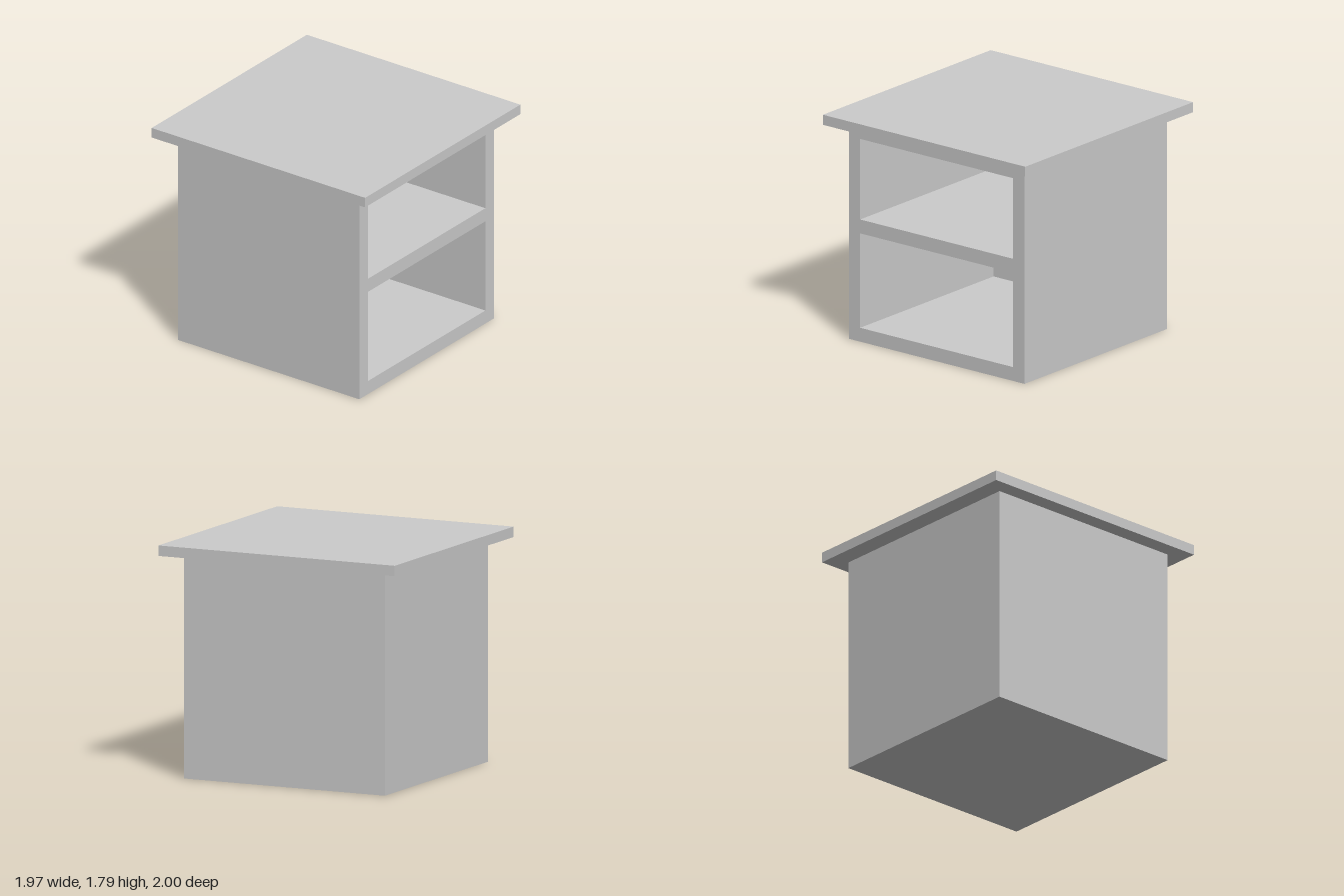
import * as THREE from 'three';

const WIDTH = 1.71, DEPTH = 1.7, HEIGHT = 1.71; // cabinet body
const BOARD = 0.11;                             // wall thickness
const TOP = 0.08;                               // top slab thickness

// Rectangle outline, drawn on a Shape or Path
function rectangle(path, halfWidth, bottom, top) {
  path.moveTo(-halfWidth, bottom);
  path.lineTo(halfWidth, bottom);
  path.lineTo(halfWidth, top);
  path.lineTo(-halfWidth, top);
  path.closePath();
  return path;
}

export function createModel() {
  const group = new THREE.Group();
  group.name = 'bedsideCabinet';
  const material = new THREE.MeshStandardMaterial({ color: 0xcccccc, flatShading: true });

  const add = (name, geometry, x, y, z) => {
    const mesh = new THREE.Mesh(geometry, material);
    mesh.name = name;
    mesh.position.set(x, y, z);
    group.add(mesh);
  };

  // Body: sides, floor, shelf and upper rail around two open compartments
  const outline = rectangle(new THREE.Shape(), WIDTH / 2, 0, HEIGHT);
  for (const [bottom, top] of [[0.11, 0.86], [0.97, 1.61]]) {
    outline.holes.push(rectangle(new THREE.Path(), WIDTH / 2 - BOARD, bottom, top));
  }
  const body = new THREE.ExtrudeGeometry(outline, { depth: DEPTH - BOARD, bevelEnabled: false });
  add('body', body, 0, 0, -DEPTH / 2 + BOARD);

  // Closed back
  add('backPanel', new THREE.BoxGeometry(WIDTH, HEIGHT, BOARD), 0, HEIGHT / 2, -DEPTH / 2 + BOARD / 2);

  // Overhanging top
  add('topSlab', new THREE.BoxGeometry(1.97, TOP, 2), 0, HEIGHT + TOP / 2, 0);

  return group;
}
